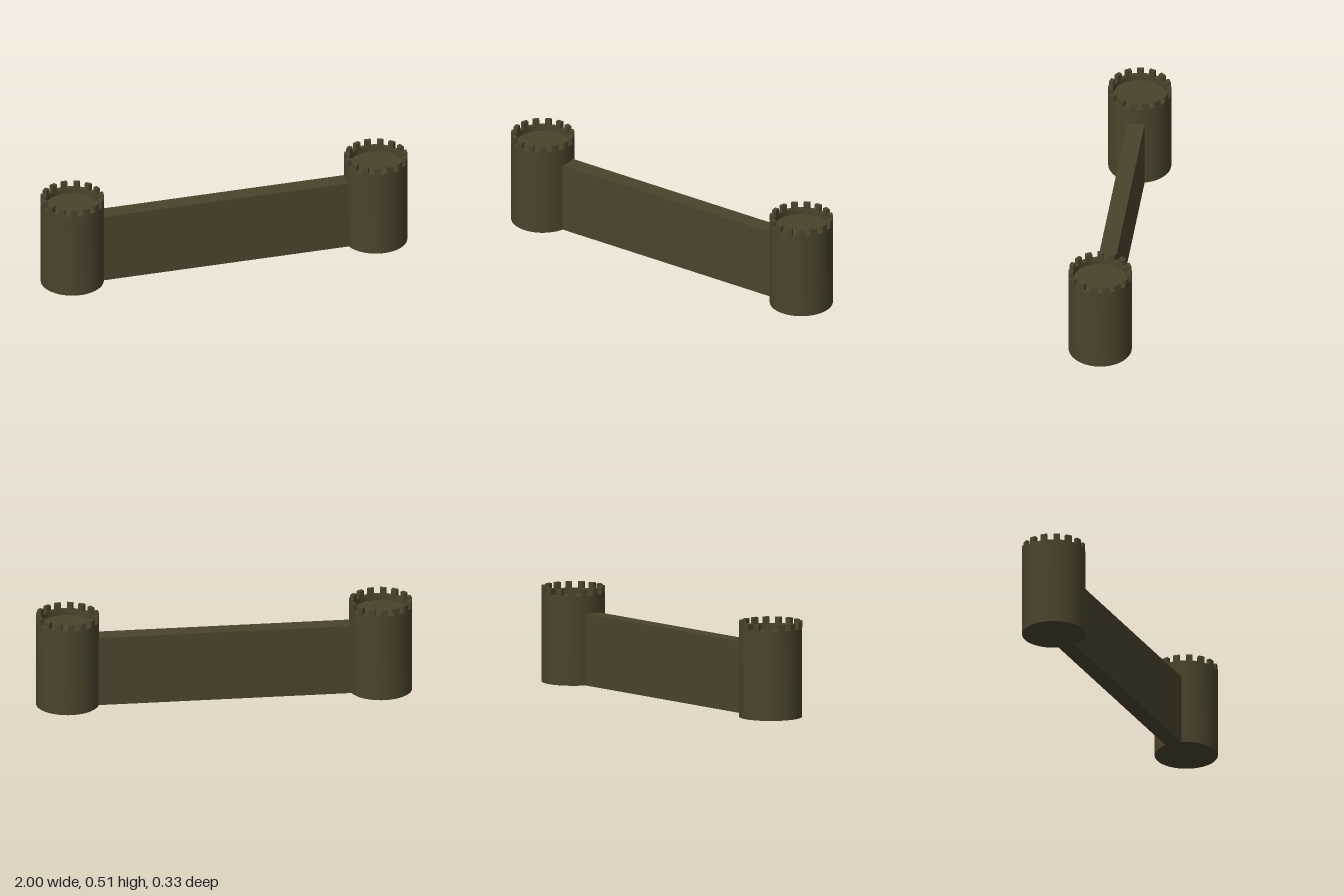
import * as THREE from 'three';
import { toCreasedNormals } from 'three/addons/utils/BufferGeometryUtils.js';

const OUTER = 0.167, INNER = 0.145;   // tower and parapet radii
const RIM = 0.476, TOP = 0.511, FLOOR = 0.445;
const MERLONS = 15;

const material = new THREE.MeshStandardMaterial({ color: 0x4a442c });

function addMesh(parent, name, geometry) {
  const mesh = new THREE.Mesh(geometry, material);
  mesh.name = name;
  parent.add(mesh);
  return mesh;
}

// Round tower body with a sunken roof floor inside the parapet
function towerBodyGeometry() {
  const profile = [
    [0, 0], [OUTER, 0], [OUTER, RIM], [INNER, RIM], [INNER, FLOOR], [0, FLOOR],
  ].map(([x, y]) => new THREE.Vector2(x, y));
  return toCreasedNormals(new THREE.LatheGeometry(profile, 60), 0.6);
}

// One merlon: a ring sector half a pitch wide
function merlonGeometry() {
  const width = Math.PI / MERLONS;
  const shape = new THREE.Shape();
  shape.absarc(0, 0, OUTER, -width, 0, false);
  shape.absarc(0, 0, INNER, 0, -width, true);
  shape.closePath();
  const geometry = new THREE.ExtrudeGeometry(shape, {
    depth: TOP - RIM, bevelEnabled: false, curveSegments: 2,
  });
  geometry.rotateX(-Math.PI / 2);
  return toCreasedNormals(geometry, 0.6);
}

export function createModel() {
  const model = new THREE.Group();
  model.name = 'castleWall';

  // Straight wall, its ends buried in the towers
  const wall = addMesh(model, 'wall', new THREE.BoxGeometry(1.38, 0.382, 0.092));
  wall.position.y = 0.191;

  // Towers with battlements at both ends
  const body = towerBodyGeometry();
  const merlon = merlonGeometry();
  for (const [name, x] of [['leftTower', 0.833], ['rightTower', -0.833]]) {
    const tower = new THREE.Group();
    tower.name = name;
    tower.position.x = x;
    addMesh(tower, 'towerBody', body);
    for (let i = 0; i < MERLONS; i++) {
      const block = addMesh(tower, 'merlon', merlon);
      block.position.y = RIM;
      block.rotation.y = -i * 2 * Math.PI / MERLONS;
    }
    model.add(tower);
  }
  return model;
}
